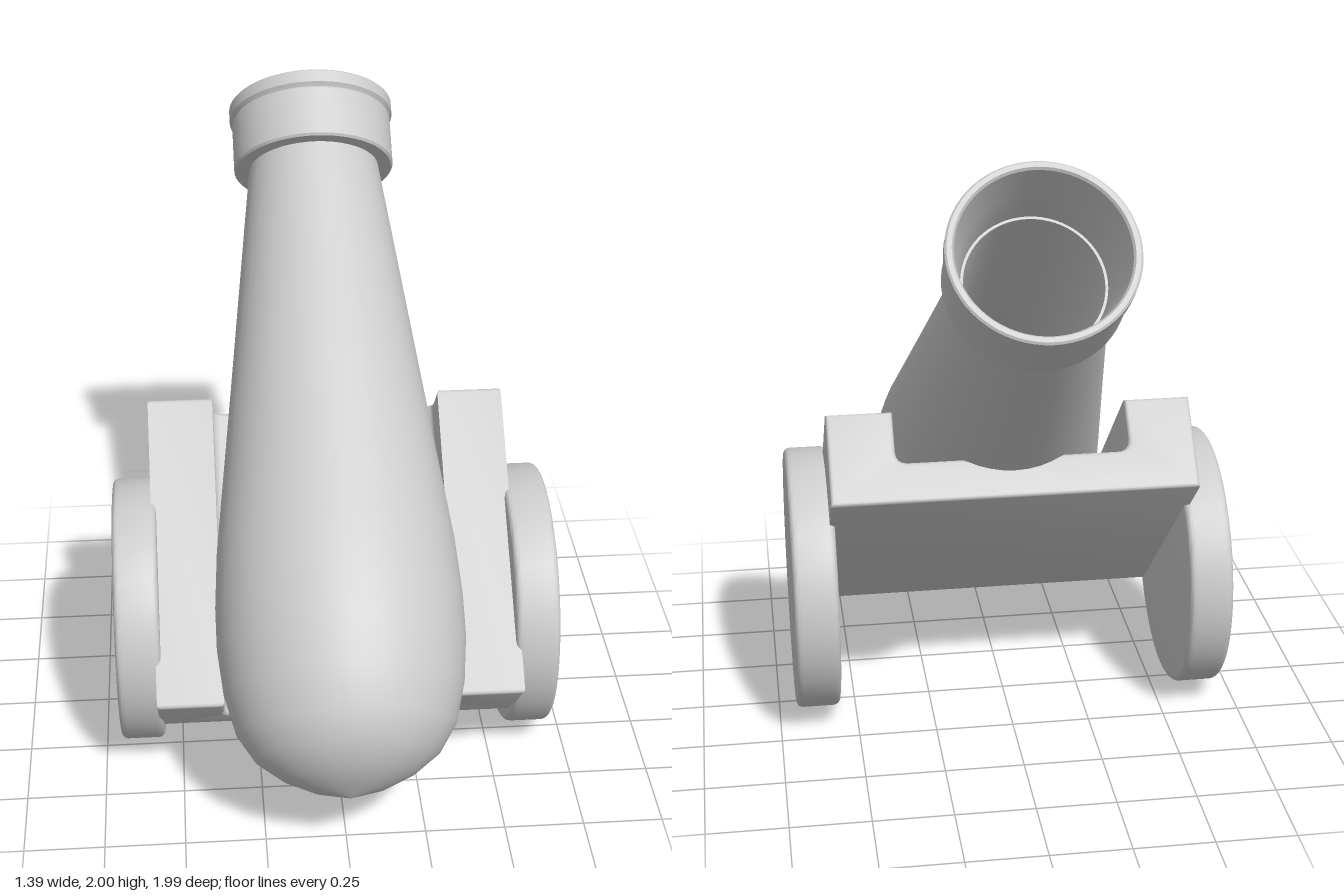
import * as THREE from 'three';
import { toCreasedNormals } from 'three/addons/utils/BufferGeometryUtils.js';

const material = new THREE.MeshStandardMaterial({ color: 0xcccccc });
const hollowMaterial = new THREE.MeshStandardMaterial({ color: 0xcccccc, side: THREE.DoubleSide });
const BARREL_TILT = THREE.MathUtils.degToRad(-48.4);
const CARRIAGE_TILT = THREE.MathUtils.degToRad(43.1);

function part(name, geometry, mat = material) {
  const mesh = new THREE.Mesh(geometry, mat);
  mesh.name = name;
  return mesh;
}

// Profile points are [radius, distance behind the muzzle]
function lathe(profile, segments) {
  return new THREE.LatheGeometry(profile.map(([r, t]) => new THREE.Vector2(r, -t)), segments);
}

// Gun: tapered tube with a domed breech, a stepped collar and an open bore
function createGun() {
  const gun = new THREE.Group();
  gun.name = 'gun';
  const tube = lathe([
    [0, 2.3], [0.11, 2.275], [0.2, 2.235], [0.28, 2.175], [0.335, 2.09], [0.367, 1.97],
    [0.382, 1.83], [0.382, 1.7], [0.37, 1.52], [0.3, 0.95], [0.212, 0.22],
  ], 48);
  const collar = lathe([
    [0.2, 0.23], [0.255, 0.23], [0.262, 0.223], [0.262, 0.062], [0.258, 0.056],
    [0.264, 0.05], [0.27, 0.045], [0.27, 0.006], [0.264, 0], [0.25, 0], [0.244, 0.008],
  ], 64);
  const bore = lathe([[0.244, 0.008], [0.225, 0.12], [0.205, 0.25], [0.205, 1.2], [0, 1.2]], 64);
  gun.add(
    part('barrel', tube, hollowMaterial),
    part('muzzleCollar', toCreasedNormals(collar, 0.5), hollowMaterial),
    part('bore', toCreasedNormals(bore, 0.7), hollowMaterial),
  );
  gun.position.set(0, 1.8, -0.82);
  gun.rotation.x = BARREL_TILT;
  return gun;
}

// Carriage: a tilted block with a round-cornered channel along its top
function createCarriage() {
  const w = 0.572, h = 0.3, inner = 0.365, floor = 0.13, r = 0.04;
  const s = new THREE.Shape();
  s.moveTo(-w, 0);
  s.lineTo(w, 0);
  s.lineTo(w, h);
  s.lineTo(inner, h);
  s.lineTo(inner, floor + r);
  s.quadraticCurveTo(inner, floor, inner - r, floor);
  s.lineTo(-inner + r, floor);
  s.quadraticCurveTo(-inner, floor, -inner, floor + r);
  s.lineTo(-inner, h);
  s.lineTo(-w, h);
  s.closePath();
  const bevel = 0.012;
  const geometry = new THREE.ExtrudeGeometry(s, {
    depth: 1 - 2 * bevel, curveSegments: 6,
    bevelEnabled: true, bevelSize: bevel, bevelThickness: bevel, bevelOffset: -bevel, bevelSegments: 3,
  });
  geometry.translate(0, 0, -0.5 + bevel);
  const carriage = part('carriage', toCreasedNormals(geometry, 0.6));
  carriage.position.set(0, 0.521, 0.017);
  carriage.rotation.x = CARRIAGE_TILT;
  return carriage;
}

// Wheel: solid disc with softly rounded rims
function createWheel(side) {
  const R = 0.425, half = 0.07, b = 0.02;
  const profile = [new THREE.Vector2(0, -half)];
  for (const end of [-1, 1]) {
    for (let i = 0; i <= 4; i++) {
      const a = (end < 0 ? i - 4 : i) * Math.PI / 8;
      profile.push(new THREE.Vector2(R - b + b * Math.cos(a), end * (half - b) + b * Math.sin(a)));
    }
  }
  profile.push(new THREE.Vector2(0, half));
  const geometry = toCreasedNormals(new THREE.LatheGeometry(profile, 64), 0.5);
  const wheel = part(side > 0 ? 'leftWheel' : 'rightWheel', geometry);
  wheel.rotation.z = Math.PI / 2;
  wheel.position.set(side * 0.626, R, 0.07);
  return wheel;
}

export function createModel() {
  const model = new THREE.Group();
  model.name = 'cannon';
  model.add(createGun(), createCarriage(), createWheel(1), createWheel(-1));
  return model;
}
